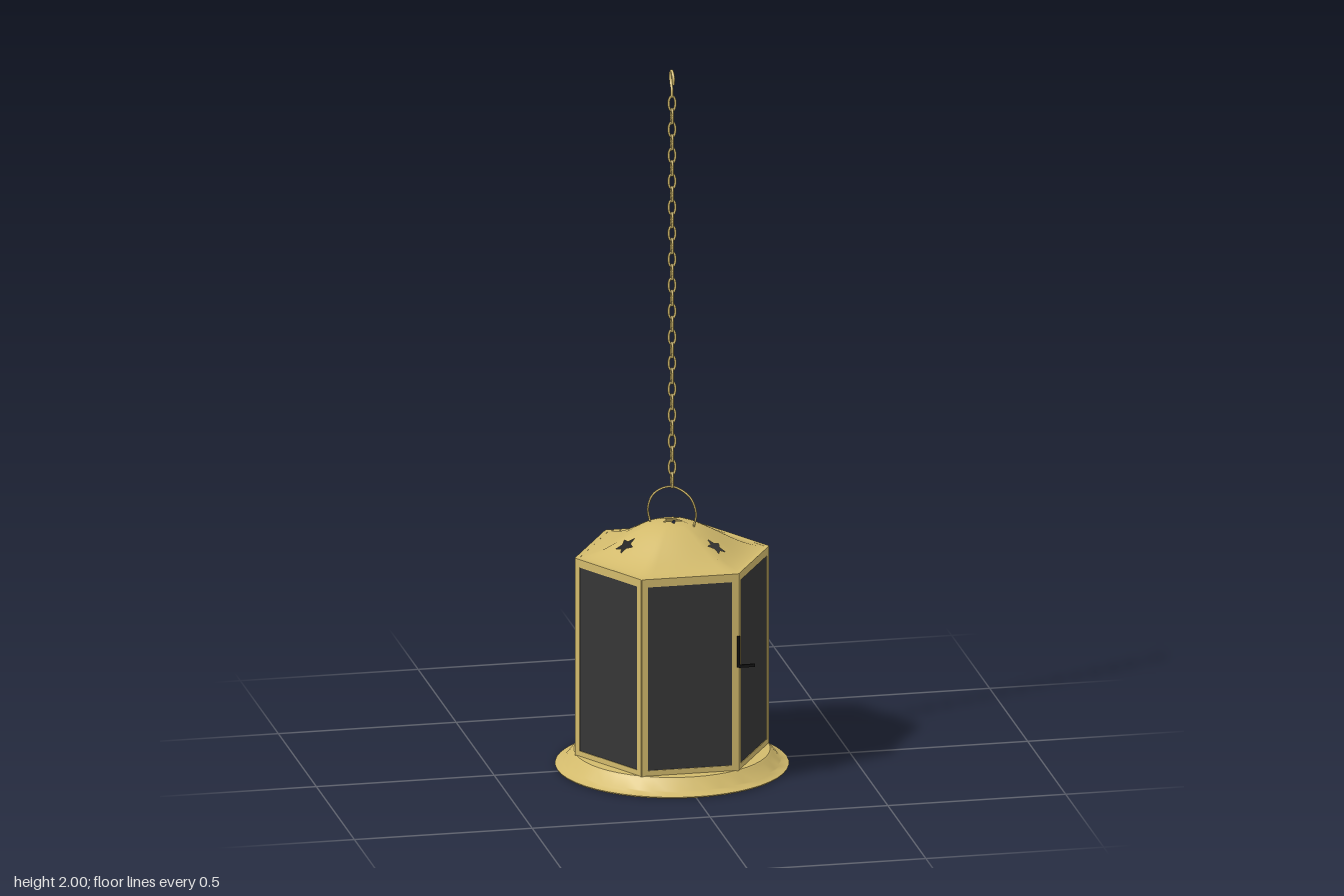
import * as THREE from 'three';
import { mergeGeometries, toCreasedNormals } from 'three/addons/utils/BufferGeometryUtils.js';

const APOTHEM = 0.237, ROUND = 0.25, SEG = 72, RINGS = 20;

const brass = new THREE.MeshStandardMaterial({ color: 0xd2ba6c, side: THREE.DoubleSide });
brass.name = 'brass';
const darkGlass = new THREE.MeshStandardMaterial({ color: 0x363636 });
darkGlass.name = 'dark glass';
const black = new THREE.MeshStandardMaterial({ color: 0x141414 });
black.name = 'black';

function add(parent, name, geometry, material, x = 0, y = 0, z = 0) {
  const mesh = new THREE.Mesh(geometry, material);
  mesh.name = name;
  mesh.position.set(x, y, z);
  parent.add(mesh);
  return mesh;
}

const v3 = (x, y, z) => new THREE.Vector3(x, y, z);
const tube = (points, radius, steps) =>
  new THREE.TubeGeometry(new THREE.CatmullRomCurve3(points), steps, radius, 6);

// --- Roof: a round dome that blends into a hexagonal eave ---
function hexRadius(angle) {
  const s = Math.PI / 3;
  return APOTHEM / Math.cos((((angle % s) + s) % s) - s / 2);
}

function roofPoint(angle, t) {
  const r = t * (ROUND + (hexRadius(angle) - ROUND) * t);
  return [r * Math.cos(angle), r * Math.sin(angle)];
}

function roofHeight(x, z) {
  const r = Math.hypot(x, z), k = hexRadius(Math.atan2(z, x)) - ROUND;
  const t = 2 * r / (ROUND + Math.sqrt(ROUND * ROUND + 4 * k * r));
  return 0.61 + 0.0465 * (1 + Math.cos(Math.PI * Math.pow(t, 1.1)));
}

// Five-pointed outline around (cx, cz)
function star(cx, cz, radius, turn) {
  return Array.from({ length: 10 }, (_, i) => {
    const a = turn + i * Math.PI / 5, r = i % 2 ? radius * 0.48 : radius;
    return [cx + r * Math.cos(a), cz + r * Math.sin(a)];
  });
}

// Flat patch with a star hole, laid in the xz plane
function patch(outline, hole) {
  const flat = (pts) => pts.map(([x, z]) => new THREE.Vector2(x, -z));
  const shape = new THREE.Shape(flat(outline));
  shape.holes.push(new THREE.Path(flat(hole)));
  return new THREE.ShapeGeometry(shape).rotateX(-Math.PI / 2);
}

function roofGeometry() {
  const step = 2 * Math.PI / SEG, inner = 4, lo = 8, hi = 15, half = 3;
  const centres = [9, 33, 57]; // segments holding a star
  const at = (i, j) => roofPoint(i * step, j / RINGS);
  const parts = [];

  // Grid, skipping the cells taken by star patches
  const pos = [], index = [];
  for (let j = inner; j <= RINGS; j++)
    for (let i = 0; i <= SEG; i++) {
      const [x, z] = at(i, j);
      pos.push(x, 0, z);
      if (i === SEG || j === RINGS) continue;
      if (j >= lo && j < hi && centres.some((c) => i >= c - half && i < c + half)) continue;
      const a = (j - inner) * (SEG + 1) + i, b = a + SEG + 1;
      index.push(a, a + 1, b, a + 1, b + 1, b);
    }
  const grid = new THREE.BufferGeometry();
  grid.setAttribute('position', new THREE.Float32BufferAttribute(pos, 3));
  grid.setIndex(index);
  parts.push(grid);

  // Three star patches on the slope and one at the apex
  for (const c of centres) {
    const outline = [];
    for (let i = c - half; i < c + half; i++) outline.push(at(i, lo));
    for (let j = lo; j < hi; j++) outline.push(at(c + half, j));
    for (let i = c + half; i > c - half; i--) outline.push(at(i, hi));
    for (let j = hi; j > lo; j--) outline.push(at(c - half, j));
    const a = c * step;
    parts.push(patch(outline, star(0.143 * Math.cos(a), 0.143 * Math.sin(a), 0.027, a - 0.6)));
  }
  const ring = Array.from({ length: SEG }, (_, i) => at(i, inner));
  parts.push(patch(ring, star(0, 0, 0.028, Math.PI / 2)));

  for (const g of parts) {
    g.deleteAttribute('uv');
    g.deleteAttribute('normal');
  }
  // Lift to the dome and take smooth normals from its slope
  const geo = mergeGeometries(parts), p = geo.attributes.position, e = 0.004;
  const normals = [];
  for (let i = 0; i < p.count; i++) {
    const x = p.getX(i), z = p.getZ(i);
    p.setY(i, roofHeight(x, z));
    const n = v3(roofHeight(x - e, z) - roofHeight(x + e, z), 2 * e,
      roofHeight(x, z - e) - roofHeight(x, z + e)).normalize();
    normals.push(n.x, n.y, n.z);
  }
  geo.setAttribute('normal', new THREE.Float32BufferAttribute(normals, 3));
  return geo;
}

// --- One side of the body: frame with an opening ---
function rect(target, w, y0, y1) {
  target.moveTo(-w, y0);
  target.lineTo(w, y0);
  target.lineTo(w, y1);
  target.lineTo(-w, y1);
  target.closePath();
  return target;
}

function frameGeometry() {
  const shape = rect(new THREE.Shape(), 0.1355, 0.043, 0.611);
  shape.holes.push(rect(new THREE.Path(), 0.118, 0.06, 0.588));
  return new THREE.ExtrudeGeometry(shape, { depth: 0.012, bevelEnabled: false });
}

// --- Chain link: oval ring standing upright ---
class LinkCurve extends THREE.Curve {
  getPoint(t, target = new THREE.Vector3()) {
    const a = t * 2 * Math.PI;
    return target.set(0.0095 * Math.cos(a), 0.0215 * Math.sin(a), 0);
  }
}

export function createModel() {
  const model = new THREE.Group();
  model.name = 'hangingLantern';

  // Dished base plate of thin sheet
  const profile = [[0, 0.036], [0.266, 0.036], [0.298, 0.006], [0.32, 0], [0.322, 0.004],
    [0.301, 0.011], [0.297, 0.014], [0.276, 0.04], [0.27, 0.045], [0, 0.045]]
    .map(([x, y]) => new THREE.Vector2(x, y));
  add(model, 'base', toCreasedNormals(new THREE.LatheGeometry(profile, 48), 0.6), brass);
  add(model, 'baseScrew', new THREE.CylinderGeometry(0.012, 0.012, 0.008, 12), brass, 0, 0.033, 0);

  // Six framed panes
  const frame = frameGeometry();
  const pane = new THREE.BoxGeometry(0.237, 0.529, 0.006);
  for (let k = 0; k < 6; k++) {
    const side = new THREE.Group();
    side.name = 'side' + (k + 1);
    add(side, 'frame', frame, brass, 0, 0, APOTHEM - 0.012);
    add(side, 'pane', pane, darkGlass, 0, 0.324, APOTHEM - 0.005);
    side.rotation.y = k * Math.PI / 3;
    model.add(side);
  }

  add(model, 'roof', roofGeometry(), brass);

  // Door latch on the front left corner
  const latch = new THREE.Group();
  latch.name = 'latch';
  add(latch, 'latchBar', new THREE.BoxGeometry(0.007, 0.09, 0.006), black, 0.136, 0.387, 0.237);
  add(latch, 'latchLever', new THREE.BoxGeometry(0.046, 0.008, 0.006), black, 0.16, 0.344, 0.234);
  model.add(latch);

  // Wire carrying loop, set across the roof at an angle
  const loop = [[-0.064, 0.69], [-0.071, 0.73], [-0.052, 0.775], [0, 0.799],
    [0.052, 0.775], [0.071, 0.73], [0.064, 0.69]].map(([x, y]) => v3(x, y, 0));
  add(model, 'carryLoop', tube(loop, 0.003, 40), brass).rotation.y = -0.58;

  // Chain of alternating links
  const link = new THREE.TubeGeometry(new LinkCurve(), 20, 0.0035, 6, true);
  const chain = new THREE.Group();
  chain.name = 'chain';
  for (let i = 0; i < 30; i++)
    add(chain, 'link', link, brass, 0, 0.818 + i * 0.0374, 0).rotation.y = i % 2 ? 0 : Math.PI / 2;
  model.add(chain);

  // Hook at the top
  const hook = [[0.019, 1.962], [0.021, 1.982], [0, 1.996], [-0.021, 1.983],
    [-0.016, 1.962], [0, 1.942], [0.001, 1.92]].map(([z, y]) => v3(0, y, z));
  add(model, 'hook', tube(hook, 0.004, 36), brass);

  return model;
}
